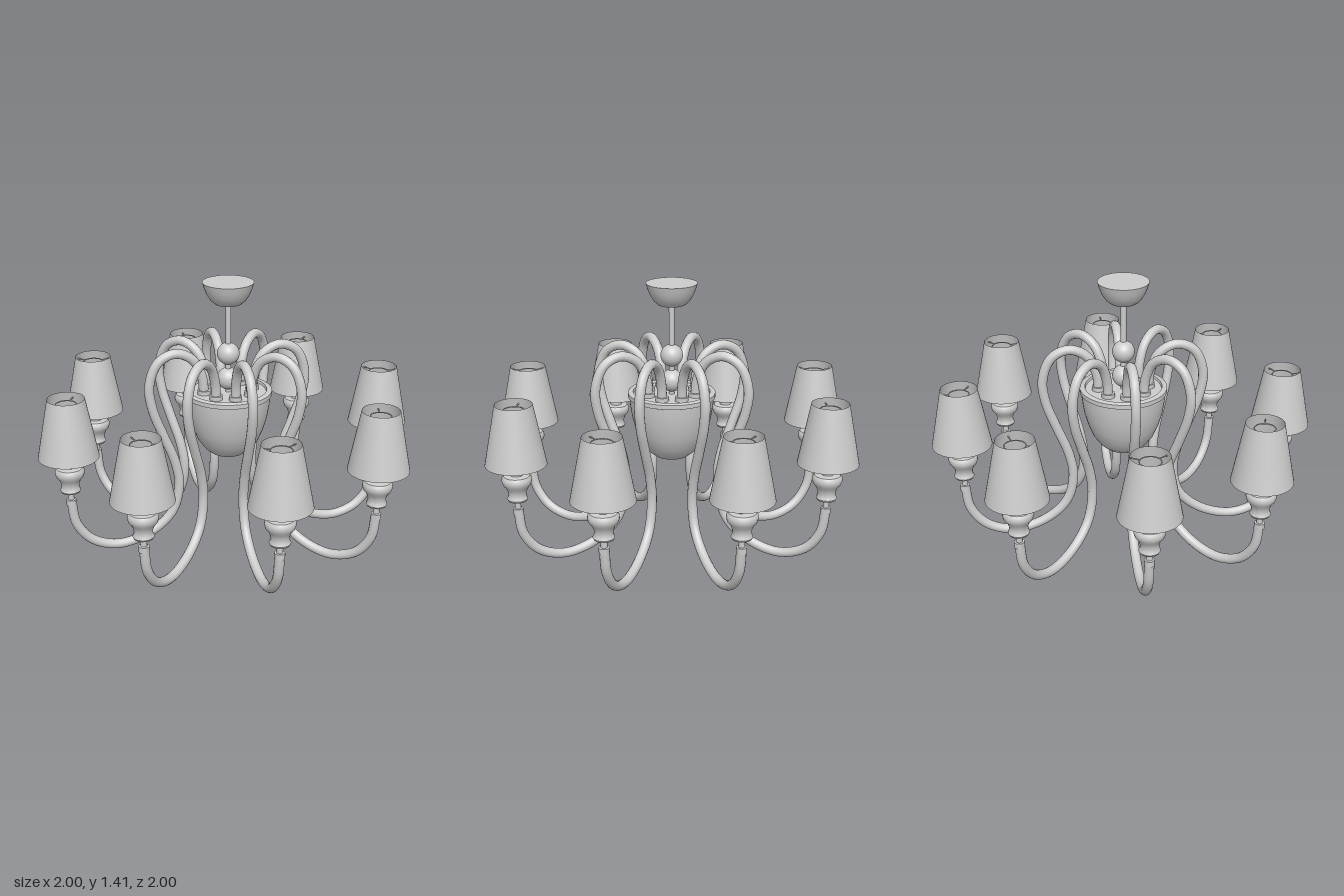
import * as THREE from 'three';
import { toCreasedNormals } from 'three/addons/utils/BufferGeometryUtils.js';

const grey = new THREE.MeshStandardMaterial({ color: 0xcccccc, side: THREE.DoubleSide });
grey.name = 'satin grey';

const ARMS = 8;
const REACH = 0.845; // distance of each lamp from the axis

function part(name, geometry, x = 0, y = 0) {
  const mesh = new THREE.Mesh(geometry, grey);
  mesh.name = name;
  mesh.position.set(x, y, 0);
  return mesh;
}

// Turned part from [radius, height] points, listed bottom to top
function turned(name, points, segments = 40, x = 0) {
  const profile = points.map(([r, y]) => new THREE.Vector2(r, y));
  return part(name, toCreasedNormals(new THREE.LatheGeometry(profile, segments), 0.7), x);
}

function rod(name, radius, y0, y1, x = 0) {
  return part(name, new THREE.CylinderGeometry(radius, radius, y1 - y0, 20), x, (y0 + y1) / 2);
}

// One S-shaped arm, leaving the bowl, arching over and sweeping up to the lamp
function arm() {
  const points = [
    [0.13, 0.80], [0.14, 0.92], [0.19, 1.02], [0.28, 1.06], [0.37, 1.02], [0.418, 0.90],
    [0.404, 0.77], [0.35, 0.62], [0.292, 0.47], [0.27, 0.33], [0.31, 0.18], [0.43, 0.075],
    [0.60, 0.03], [0.74, 0.075], [0.822, 0.18], [REACH, 0.32],
  ].map(([x, y]) => new THREE.Vector3(x, y, 0));
  return part('arm', new THREE.TubeGeometry(new THREE.CatmullRomCurve3(points), 90, 0.025, 14));
}

function lamp() {
  const group = new THREE.Group();
  group.name = 'lamp';
  group.position.x = REACH;
  group.add(
    turned('armCollar', [[0, 0.295], [0.026, 0.295], [0.026, 0.325], [0, 0.328]], 20),
    rod('neck', 0.016, 0.32, 0.38),
    turned('cup', [
      [0, 0.37], [0.048, 0.37], [0.053, 0.38], [0.046, 0.395], [0.046, 0.415], [0.056, 0.44],
      [0.07, 0.457], [0.076, 0.475], [0.075, 0.492], [0.066, 0.504], [0.03, 0.508], [0, 0.508],
    ]),
    rod('candle', 0.033, 0.50, 0.70),
    part('bulb', new THREE.SphereGeometry(0.047, 24, 16), 0, 0.735),
    turned('shade', [[0.156, 0.565], [0.095, 0.88]], 48),
  );

  // Ring and three spokes that carry the shade
  const ring = part('shadeRing', new THREE.TorusGeometry(0.052, 0.003, 6, 32), 0, 0.85);
  ring.rotation.x = Math.PI / 2;
  group.add(ring);
  for (let i = 0; i < 3; i++) {
    const angle = (i * Math.PI * 2) / 3;
    const spoke = part('shadeSpoke', new THREE.BoxGeometry(0.047, 0.005, 0.005));
    spoke.position.set(Math.cos(angle) * 0.0755, 0.85, -Math.sin(angle) * 0.0755);
    spoke.rotation.y = angle;
    group.add(spoke);
  }
  return group;
}

export function createModel() {
  const model = new THREE.Group();
  model.name = 'chandelier';

  // Central stem, from the ceiling down to the bowl
  model.add(
    turned('ceilingCanopy', [
      [0, 1.293], [0.04, 1.295], [0.068, 1.302], [0.09, 1.32], [0.11, 1.352],
      [0.122, 1.382], [0.131, 1.413], [0, 1.413],
    ]),
    rod('stem', 0.015, 0.80, 1.31),
    part('upperBall', new THREE.SphereGeometry(0.058, 32, 20), 0, 1.035),
    part('lowerBall', new THREE.SphereGeometry(0.058, 32, 20), 0, 0.90),
    turned('bowl', [
      [0, 0.478], [0.05, 0.481], [0.09, 0.494], [0.125, 0.522], [0.16, 0.57], [0.185, 0.63],
      [0.205, 0.70], [0.216, 0.77], [0.219, 0.812], [0.227, 0.815], [0.227, 0.838],
      [0.222, 0.842], [0.2, 0.842], [0.197, 0.828], [0, 0.828],
    ], 56),
  );

  // Arms with their lamps, evenly spaced around the stem
  for (let i = 0; i < ARMS; i++) {
    const branch = new THREE.Group();
    branch.name = 'branch';
    branch.rotation.y = (i * Math.PI * 2) / ARMS;
    branch.add(arm(), lamp(), turned('armSocket', [[0.034, 0.825], [0.034, 0.85], [0, 0.852]], 20, 0.13));
    model.add(branch);
  }
  return model;
}
